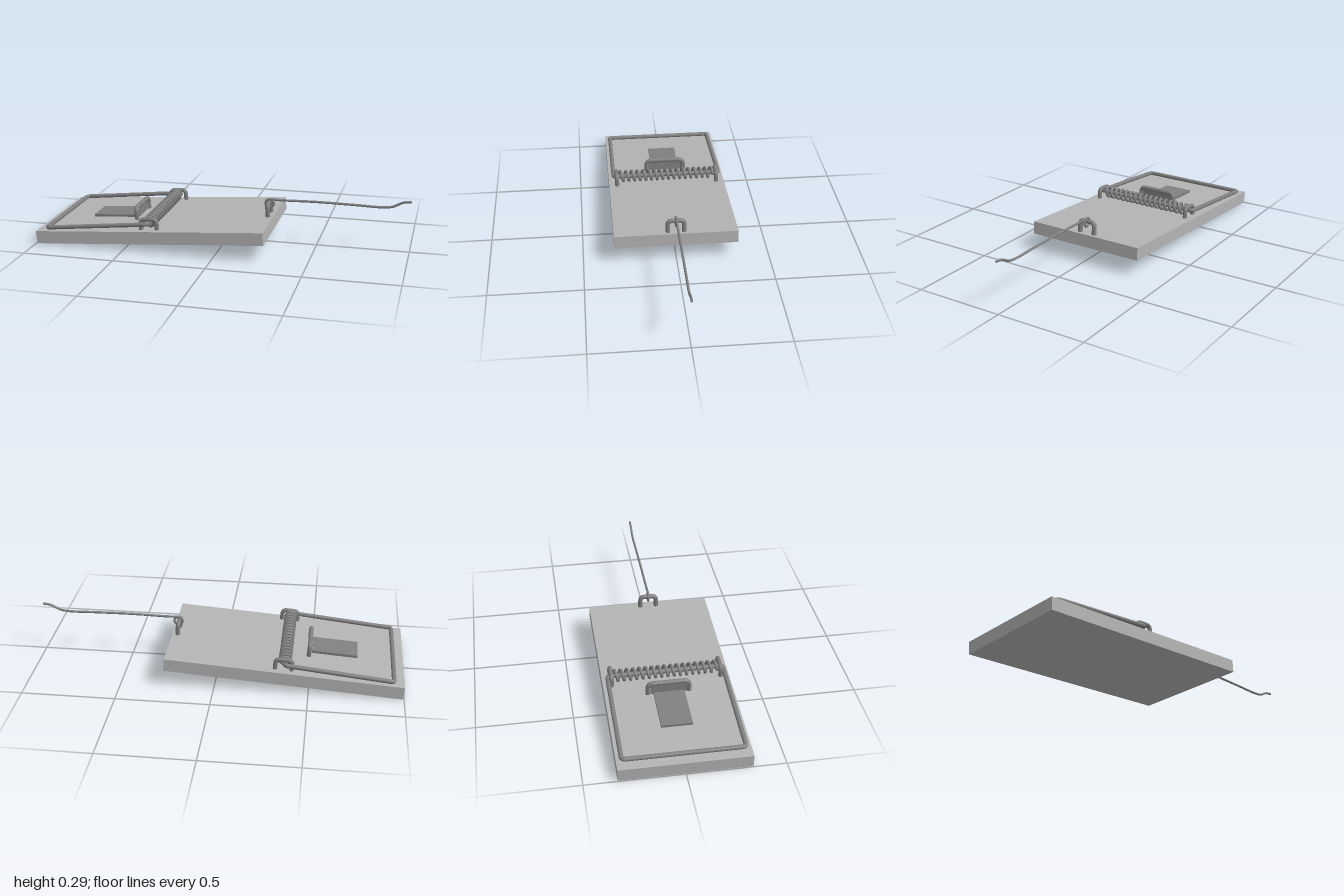
import * as THREE from 'three';

const V = (x, y, z) => new THREE.Vector3(x, y, z);

// Path of straight runs with rounded bends at the inner points
function bentPath(pts, bend) {
  const path = new THREE.CurvePath();
  let from = pts[0];
  for (let i = 1; i < pts.length - 1; i++) {
    const p = pts[i];
    const a = p.clone().add(pts[i - 1].clone().sub(p).setLength(bend));
    const b = p.clone().add(pts[i + 1].clone().sub(p).setLength(bend));
    path.add(new THREE.LineCurve3(from, a));
    path.add(new THREE.QuadraticBezierCurve3(a, p, b));
    from = b;
  }
  path.add(new THREE.LineCurve3(from, pts[pts.length - 1]));
  return path;
}

// Round wire along a curve, with domed ends
function wire(name, curve, radius, segments, mat) {
  const g = new THREE.Group();
  g.name = name;
  g.add(new THREE.Mesh(new THREE.TubeGeometry(curve, segments, radius, 10), mat));
  for (const t of [0, 1]) {
    const end = new THREE.Mesh(new THREE.SphereGeometry(radius, 10, 8), mat);
    end.position.copy(curve.getPoint(t));
    g.add(end);
  }
  g.children.forEach((m) => { m.name = name; });
  return g;
}

function box(name, w, h, d, x, y, z, mat) {
  const m = new THREE.Mesh(new THREE.BoxGeometry(w, h, d), mat);
  m.name = name;
  m.position.set(x, y, z);
  return m;
}

class Helix extends THREE.Curve {
  constructor(radius, half, turns) {
    super();
    Object.assign(this, { radius, half, turns });
  }
  getPoint(t, target = new THREE.Vector3()) {
    const a = t * this.turns * Math.PI * 2;
    return target.set(Math.cos(a) * this.radius, Math.sin(a) * this.radius, (2 * t - 1) * this.half);
  }
}

export function createModel() {
  const root = new THREE.Group();
  root.name = 'springTrap';
  const wood = new THREE.MeshStandardMaterial({ name: 'light grey board', color: 0xb3b3b3 });
  const metal = new THREE.MeshStandardMaterial({ name: 'grey metal', color: 0x808080 });

  // Everything on the board shares its tilt; local y = 0 is the board top
  const base = new THREE.Group();
  base.name = 'tiltedBase';
  base.position.set(-1, 0.0695, 0);
  base.rotation.z = 0.0698;
  root.add(base);
  base.add(box('board', 1.268, 0.0695, 0.667, 0.634, -0.0347, 0, wood));

  // Hammer: one closed wire, whose axle runs through the spring
  const axleX = 0.633, axleY = 0.034, side = 0.306;
  const hammer = bentPath([
    V(axleX, axleY, 0), V(axleX, axleY, side), V(0.057, 0.013, side),
    V(0.057, 0.013, -side), V(axleX, axleY, -side), V(axleX, axleY, 0),
  ], 0.02);
  base.add(wire('hammer', hammer, 0.012, 320, metal));

  // Coil spring
  const spring = wire('spring', new Helix(0.027, 0.272, 16.5), 0.0085, 420, metal);
  spring.position.set(axleX, axleY + 0.001, 0);
  base.add(spring);

  // Staples holding the axle
  for (const s of [1, -1]) {
    const z = s * 0.288;
    const staple = bentPath([
      V(0.594, -0.02, z), V(0.594, 0.057, z), V(0.682, 0.057, z), V(0.682, -0.02, z),
    ], 0.025);
    base.add(wire(s > 0 ? 'leftAxleStaple' : 'rightAxleStaple', staple, 0.012, 60, metal));
  }

  // Bait pedal with its upright tab and staple
  base.add(box('baitPedal', 0.245, 0.014, 0.16, 0.372, 0.012, -0.003, metal));
  base.add(box('pedalTab', 0.01, 0.06, 0.19, 0.505, 0.034, -0.002, metal));
  const pedalStaple = bentPath([
    V(0.51, -0.02, 0.105), V(0.51, 0.066, 0.105), V(0.51, 0.066, -0.111), V(0.51, -0.02, -0.111),
  ], 0.03);
  base.add(wire('pedalStaple', pedalStaple, 0.0125, 80, metal));

  // Staple holding the latch wire
  const latchStaple = bentPath([
    V(1.239, -0.03, 0.044), V(1.239, 0.066, 0.044), V(1.239, 0.066, -0.044), V(1.239, -0.03, -0.044),
  ], 0.024);
  base.add(wire('latchStaple', latchStaple, 0.0125, 80, metal));

  // Latch wire: eye around the staple, then the long bar with a raised tip
  const latchPts = [];
  for (let i = 0; i <= 10; i++) {
    const a = Math.PI * (0.4 + 0.2 * i);
    latchPts.push(V(0.236 + 0.023 * Math.cos(a), 0.219 + 0.023 * Math.sin(a), 0));
  }
  latchPts.push(V(0.3, 0.241, 0), V(0.5, 0.245, 0), V(0.7, 0.243, 0), V(0.85, 0.241, 0),
    V(0.9, 0.248, 0), V(0.955, 0.274, 0), V(0.994, 0.28, 0));
  root.add(wire('latchWire', new THREE.CatmullRomCurve3(latchPts), 0.0065, 160, metal));

  return root;
}
